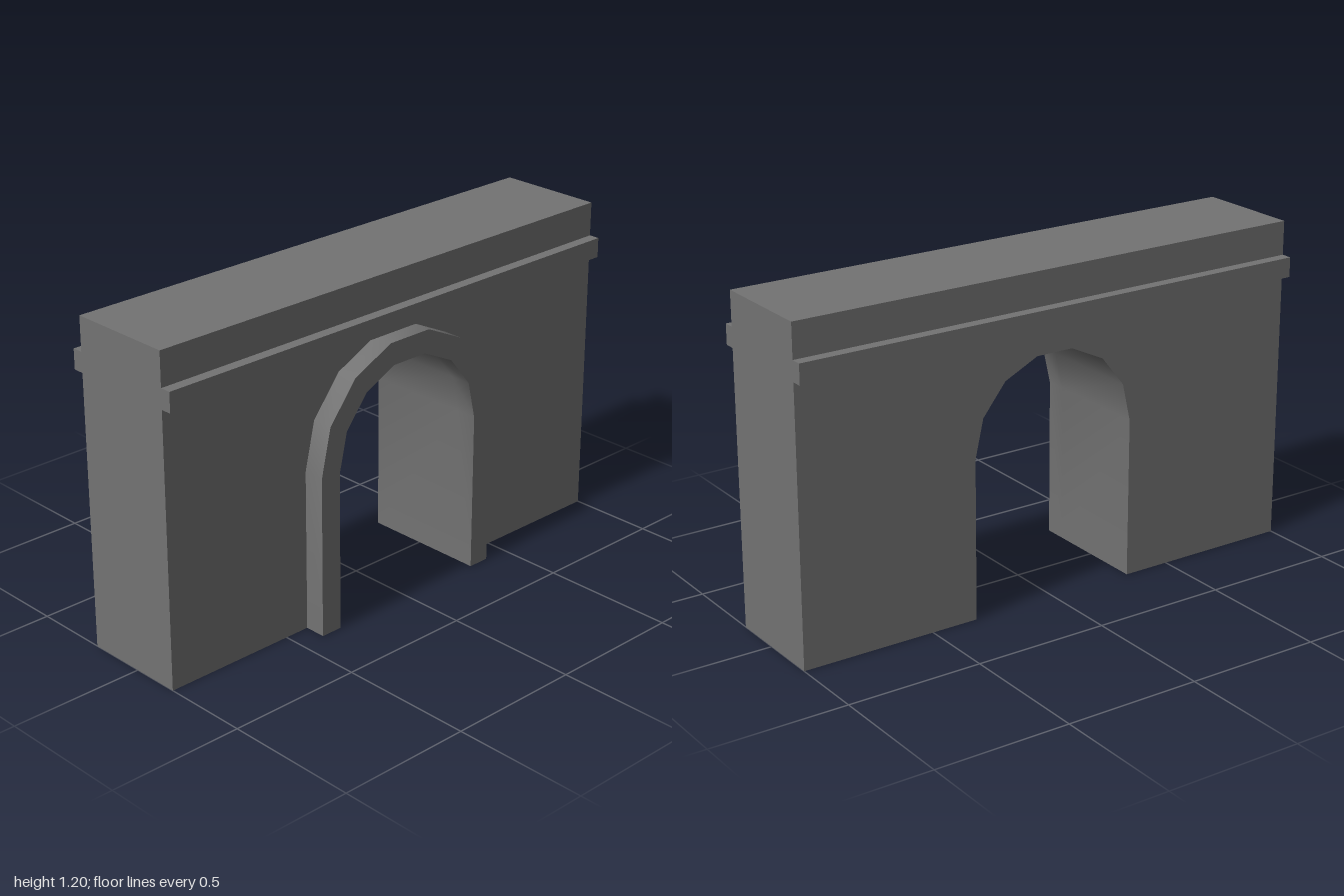
import * as THREE from 'three';
import { toCreasedNormals } from 'three/addons/utils/BufferGeometryUtils.js';

const BACK = -0.218, FRONT = 0.181, TRIM_FRONT = 0.26;
const SEGMENTS = 7, CREASE = 0.6;

// Arch outline from the foot at +x, over the crown, to the foot at -x
function archPoints(radius, spring) {
  const points = [new THREE.Vector2(radius, 0)];
  for (let i = 0; i <= SEGMENTS; i++) {
    const a = (Math.PI * i) / SEGMENTS;
    points.push(new THREE.Vector2(radius * Math.cos(a), spring + radius * Math.sin(a)));
  }
  points.push(new THREE.Vector2(-radius, 0));
  return points;
}

// Skin stretched over successive rows of equal length
function loft(rows) {
  const n = rows[0].length, index = [];
  for (let r = 0; r < rows.length - 1; r++) {
    for (let i = 0; i < n - 1; i++) {
      const a = r * n + i, b = a + n;
      index.push(a, a + 1, b + 1, a, b + 1, b);
    }
  }
  const geometry = new THREE.BufferGeometry().setFromPoints(rows.flat());
  geometry.setIndex(index);
  return toCreasedNormals(geometry, CREASE);
}

export function createModel() {
  const group = new THREE.Group();
  const material = new THREE.MeshStandardMaterial({ color: 0x737373 });
  const openMaterial = new THREE.MeshStandardMaterial({ color: 0x737373, side: THREE.DoubleSide });
  const add = (name, geometry, mat = material) => {
    const mesh = new THREE.Mesh(geometry, mat);
    mesh.name = name;
    group.add(mesh);
    return mesh;
  };

  const inner = archPoints(0.323, 0.589), outer = archPoints(0.405, 0.592);

  // Wall with the arched passage, smooth inside the arch
  const outline = new THREE.Shape([
    new THREE.Vector2(-1, 0), ...[...inner].reverse(), new THREE.Vector2(1, 0),
    new THREE.Vector2(1, 1.2), new THREE.Vector2(-1, 1.2),
  ]);
  const wall = new THREE.ExtrudeGeometry(outline, { depth: FRONT - BACK, bevelEnabled: false });
  wall.translate(0, 0, BACK);
  add('wall', toCreasedNormals(wall, CREASE));

  // Raised arch surround on the front, hollow at the feet
  const at = (points, z) => points.map((p) => new THREE.Vector3(p.x, p.y, z));
  add('archSurround', loft([
    at(outer, FRONT), at(outer, TRIM_FRONT), at(inner, TRIM_FRONT), at(inner, FRONT),
  ]), openMaterial);

  // Ledges along the front and back
  for (const [name, z] of [['frontLedge', FRONT + 0.02], ['backLedge', BACK - 0.02]]) {
    add(name, new THREE.BoxGeometry(2, 0.073, 0.04)).position.set(0, 1.0385, z);
  }
  return group;
}
